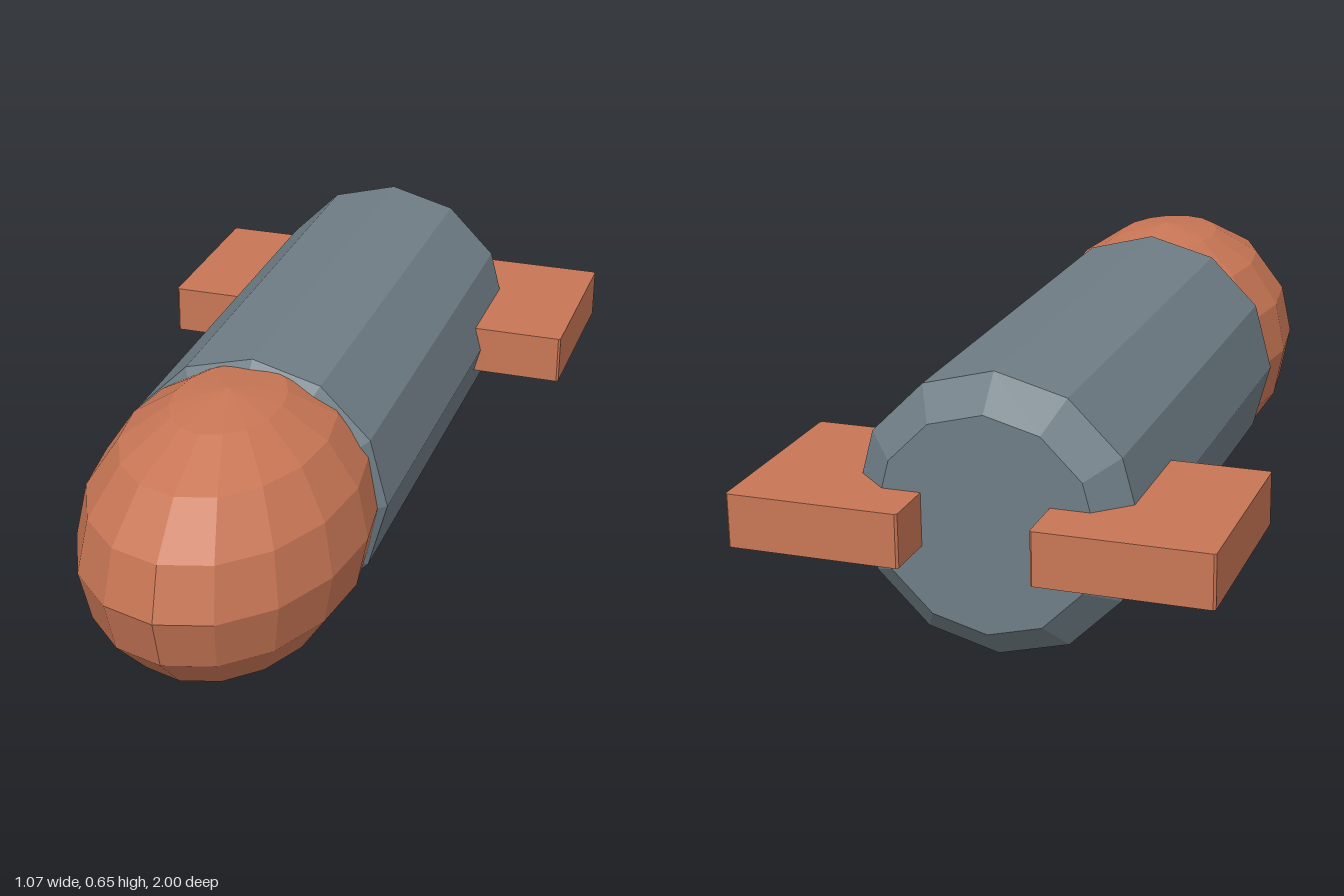
import * as THREE from 'three';

const RADIUS = 0.325;
const AXIS_Y = 0.327;

function part(name, geometry, material) {
  const mesh = new THREE.Mesh(geometry, material);
  mesh.name = name;
  return mesh;
}

// Rectangular plate in x/z with slightly chamfered upright edges
function finGeometry(x0, x1, z0, z1, thickness, c) {
  const shape = new THREE.Shape([
    [x0 + c, -z1], [x1 - c, -z1], [x1, -z1 + c], [x1, -z0 - c],
    [x1 - c, -z0], [x0 + c, -z0], [x0, -z0 - c], [x0, -z1 + c],
  ].map(([x, y]) => new THREE.Vector2(x, y)));
  const geometry = new THREE.ExtrudeGeometry(shape, { depth: thickness, bevelEnabled: false });
  return geometry.rotateX(-Math.PI / 2).translate(0, -thickness / 2, 0);
}

export function createModel() {
  const model = new THREE.Group();
  model.name = 'rocket';
  const grey = new THREE.MeshStandardMaterial({ color: 0x6f7d85, flatShading: true });
  const orange = new THREE.MeshStandardMaterial({ color: 0xc87655, flatShading: true });

  // Twelve-sided body, chamfered at both ends
  const profile = [[0, -0.87], [0.25, -0.87], [RADIUS, -0.8], [RADIUS, 0.365], [0.25, 0.435], [0, 0.435]]
    .map(([r, z]) => new THREE.Vector2(r, z));
  const body = part('body', new THREE.LatheGeometry(profile, 12).rotateX(Math.PI / 2), grey);
  body.position.y = AXIS_Y;
  model.add(body);

  // Faceted nose, stretched forwards
  const nose = part('nose', new THREE.SphereGeometry(RADIUS, 16, 8), orange);
  nose.scale.z = 0.48 / RADIUS;
  nose.position.set(0, AXIS_Y, 0.52);
  model.add(nose);

  // Pair of flat tail fins
  for (const side of [1, -1]) {
    const [x0, x1] = side > 0 ? [0.145, 0.537] : [-0.537, -0.145];
    const fin = part(side > 0 ? 'leftFin' : 'rightFin', finGeometry(x0, x1, -1, -0.524, 0.122, 0.005), orange);
    fin.position.y = AXIS_Y;
    model.add(fin);
  }
  return model;
}
